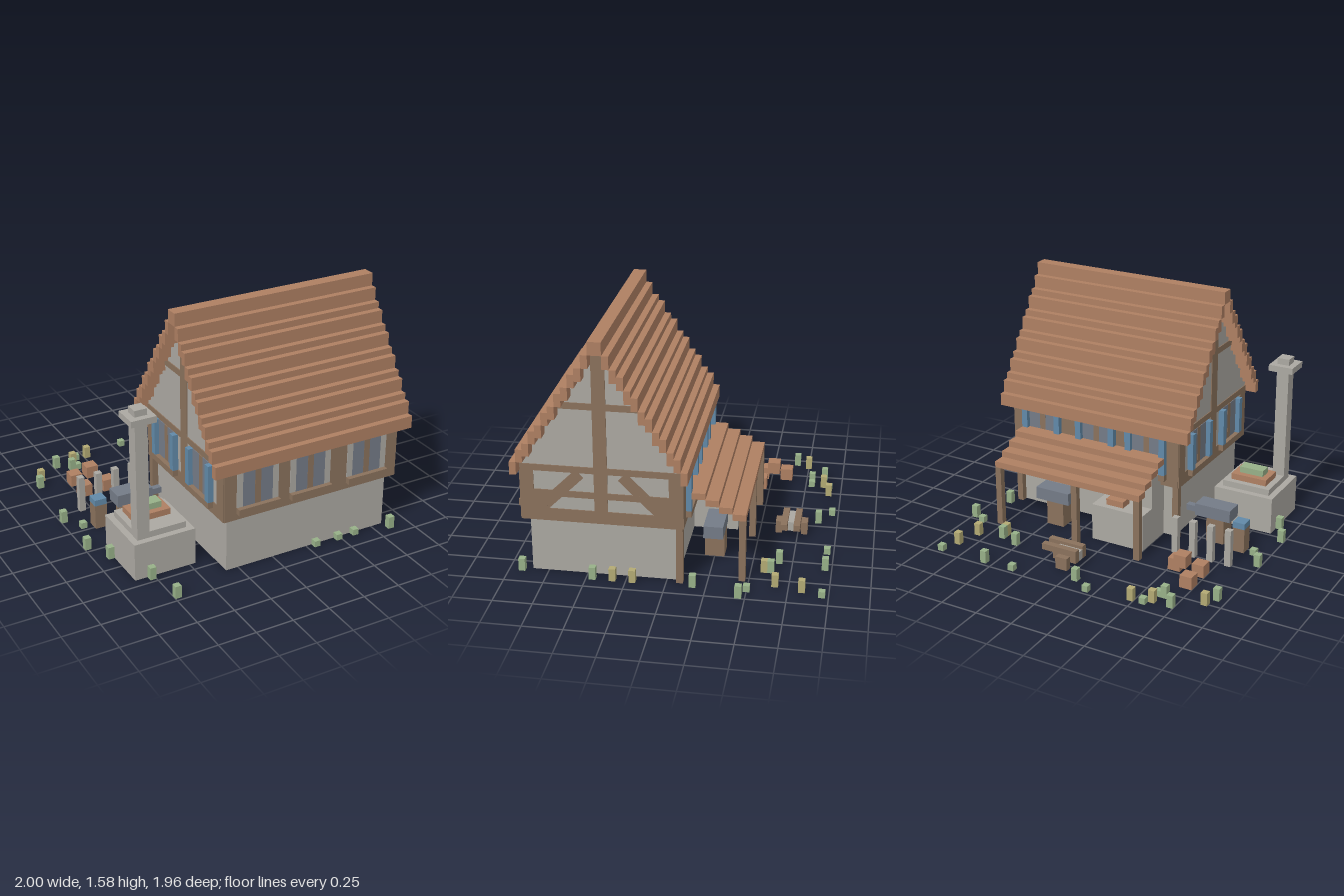
import * as THREE from 'three';

const mat = (name, color) => new THREE.MeshStandardMaterial({ name, color, side: THREE.DoubleSide });

export function createModel() {
  const stone = mat('stone', 0xaba8a1), timber = mat('timber', 0x8a715c), tile = mat('clayTile', 0xae7f62);
  const slate = mat('slate', 0x747b87), blue = mat('bluePaint', 0x6189a8);
  const green = mat('leafGreen', 0x97b088), yellow = mat('strawYellow', 0xb3aa74);

  // One unit inside the group is a block of 1/24
  const root = new THREE.Group();
  root.name = 'smithyHouse';
  root.scale.setScalar(1 / 24);
  const group = (name, parent = root) => {
    const g = new THREE.Group();
    g.name = name;
    parent.add(g);
    return g;
  };

  // Box from its limits; boxes on the ground have no bottom face
  function box(parent, name, material, x0, x1, y0, y1, z0, z1) {
    const geo = new THREE.BoxGeometry(x1 - x0, y1 - y0, z1 - z0);
    if (y0 === 0) {
      const idx = Array.from(geo.index.array);
      idx.splice(18, 6);
      geo.setIndex(idx);
      geo.clearGroups();
    }
    const m = new THREE.Mesh(geo, material);
    m.position.set((x0 + x1) / 2, (y0 + y1) / 2, (z0 + z1) / 2);
    m.name = name;
    parent.add(m);
    return m;
  }

  // Ground floor and gabled upper storey
  const house = group('house');
  box(house, 'stoneBase', stone, -8, 20, 0, 9, -1.5, 20.5);
  const profile = new THREE.Shape([[-2.5, 9], [21.5, 9], [21.5, 18.7], [9.5, 36.7], [-2.5, 18.7]]
    .map(([z, y]) => new THREE.Vector2(z, y)));
  const wallGeo = new THREE.ExtrudeGeometry(profile, { depth: 30, bevelEnabled: false });
  wallGeo.rotateY(-Math.PI / 2).translate(21, 0, 0);
  const walls = new THREE.Mesh(wallGeo, stone);
  walls.name = 'plasterWalls';
  house.add(walls);
  box(house, 'frontTimber', timber, -9, 21, 9, 18, 21.5, 21.65);
  box(house, 'backTimber', timber, -9, 21, 9, 18, -2.65, -2.5);
  for (const x of [-9, 20]) box(house, 'cornerPost', timber, x, x + 1, 0, 9, -2.5, -1.5);

  // Timber framing of both gables
  for (const [name, x0] of [['rightGable', 21], ['leftGable', -9.15]]) {
    const g = group(name, house);
    const beam = (n, y0, y1, z0, z1) => box(g, n, timber, x0, x0 + 0.15, y0, y1, z0, z1);
    beam('sillBeam', 9, 11, -2.5, 21.5);
    beam('eavesBeam', 17, 18, -2.5, 21.5);
    beam('collarBeam', 27, 28, 3.5, 15.5);
    beam('kingPost', 9, 36, 8.5, 10.5);
    beam('postBack', 9, 18, -2.5, -0.5);
    beam('postFront', 9, 18, 19.5, 21.5);
    if (x0 === 21) {
      beam('middleRail', 13, 14, -2.5, 21.5);
      for (const s of [1, -1]) {
        const brace = box(g, 'brace', timber, x0, x0 + 0.14, -4, 4, -0.85, 0.85);
        brace.position.set(x0 + 0.07, 14, 9.5 + s * 6);
        brace.rotation.x = -s * Math.PI / 4;
        beam('braceFoot', 11, 13, 9.5 + s * 9 - 1, 9.5 + s * 9 + 1);
      }
    }
  }

  // Window bay: two panes, a mullion, side panels or shutters, and a sill
  function bay(x, z, turn, shutters) {
    const g = group('windowBay', house);
    g.position.set(x, 0, z);
    g.rotation.y = turn;
    for (const u of [0, 6]) {
      if (shutters) box(g, 'shutter', blue, u, u + 1, 11, 17, -0.1, 0.85);
      else box(g, 'sidePanel', stone, u, u + 1, 11, 17, -0.05, 0.1);
    }
    for (const u of [1, 4]) box(g, 'pane', slate, u, u + 2, 11, 17, -0.05, 0.1);
    box(g, 'mullion', timber, 3, 4, 11, 17, -0.05, 0.12);
    box(g, 'windowSill', timber, 0, 7, 10, 11, -0.1, 0.85);
  }
  for (const x of [-7, 2, 12]) {
    bay(x, 21.65, 0, false);
    bay(x + 7, -2.65, Math.PI, true);
  }
  for (const z of [0.5, 11.5]) bay(-9.15, z, -Math.PI / 2, true);

  // Stepped roof, courses rising two and one blocks in turn
  const roof = group('roof');
  for (let k = 0; k < 12; k++) {
    const top = 19 + Math.ceil(k * 1.5);
    for (const z of [22.5 - k - 1, -3.5 + k]) box(roof, 'roofCourse', tile, -11, 23, top - 2, top, z, z + 1);
  }
  box(roof, 'ridge', tile, -11, 23, 36, 38, 8.5, 10.5);

  // Porch behind the house
  const porch = group('porch');
  for (let i = 0; i < 4; i++)
    box(porch, 'porchCourse', tile, -7, 19, 13 - i, 14 - i, -5.5 - 2 * i, i ? -3.5 - 2 * i : -2.5);
  for (const x of [-7, 4, 18]) box(porch, 'porchPost', timber, x, x + 1, 0, 10, -11.5, -10.5);
  box(porch, 'hearth', stone, -6, 3, 0, 6, -8.5, -1.5);
  box(porch, 'hearthFlue', stone, -6, -3, 6, 11, -5.5, -1.5);
  box(porch, 'embers', tile, -2, 1, 6, 7, -7.5, -5.5);
  box(porch, 'benchBlock', timber, 9, 12, 0, 4, -7.5, -4.5);
  box(porch, 'benchTop', slate, 8, 14, 4, 6, -7.5, -4.5);

  // Outdoor forge with its tall chimney
  const forge = group('forge');
  box(forge, 'forgeBase', stone, -21, -11, 0, 6, 6.5, 16.5);
  box(forge, 'forgeLedge', stone, -20, -12, 6, 7, 7.5, 15.5);
  box(forge, 'forgeRim', tile, -19, -13, 7, 8, 8.5, 12.5);
  box(forge, 'forgeFill', green, -18, -14, 8, 9, 9.5, 11.5);
  box(forge, 'chimney', stone, -20, -18, 7, 25, 13.5, 15.5);
  box(forge, 'chimneyCap', stone, -21, -17, 25, 26, 12.5, 16.5);
  box(forge, 'chimneyTop', stone, -20, -18, 26, 27, 13.5, 15.5);

  // Anvil, water barrel and stone stakes
  const yard = group('yard');
  box(yard, 'anvilBlock', timber, -16, -13, 0, 4, -0.5, 2.5);
  box(yard, 'anvil', slate, -17, -11, 4, 6, -0.5, 2.5);
  box(yard, 'anvilHorn', slate, -11, -9, 4, 5, 0.5, 1.5);
  box(yard, 'barrel', timber, -20, -18, 0, 4, -1.5, 0.5);
  box(yard, 'barrelWater', blue, -20, -18, 4, 5, -1.5, 0.5);
  for (const x of [-20, -17, -14, -11]) box(yard, 'stake', stone, x, x + 1, 0, 6, -6.5, -5.5);

  // Clay blocks
  for (const [x, y, z] of [[-18, 0, -15.5], [-16, 2, -13.5], [-18, 0, -11.5], [-14, 0, -11.5]])
    box(yard, 'clayBlock', tile, x, x + 2, y, y + 2, z, z + 2);

  // Handcart
  const cart = group('handcart');
  for (const z of [-18.5, -16.5]) {
    box(cart, 'cartSide', timber, 0, 4, 1, 3, z, z + 1);
    box(cart, 'cartHandle', timber, 4, 6, 2, 3, z, z + 1);
  }
  box(cart, 'cartLoad', stone, 0, 4, 1, 2.5, -17.5, -16.5);
  for (const z of [-19.5, -15.5]) box(cart, 'cartWheel', timber, 1, 3, 0, 2, z, z + 1);

  // Grass tufts
  const tufts = group('grassTufts');
  const plant = (list, material, h) => {
    for (const [x, z] of list) box(tufts, 'tuft', material, x, x + 1, 0, h, z - 0.5, z + 0.5);
  };
  plant([[-18, -21], [-16, -19], [-23, -16], [-2, -21], [13, -23], [12, -16], [15, -15], [23, -11],
    [21, -4], [-24, -4], [-24, 5], [-22, 9], [-19, 17], [-18, 23], [21, 11], [20, 22]], green, 2);
  plant([[-14, -22], [-15, -19], [-5, -23], [8, -23], [21, -23], [21, -12], [-22, -1],
    [7, 21], [11, 21], [14, 21]], green, 1);
  plant([[-12, -22], [-15, -21], [-22, -18], [20, -20], [19, -16], [15, -14], [21, 8], [21, 5]], yellow, 2);

  const model = new THREE.Group();
  model.name = 'model';
  model.add(root);
  return model;
}
